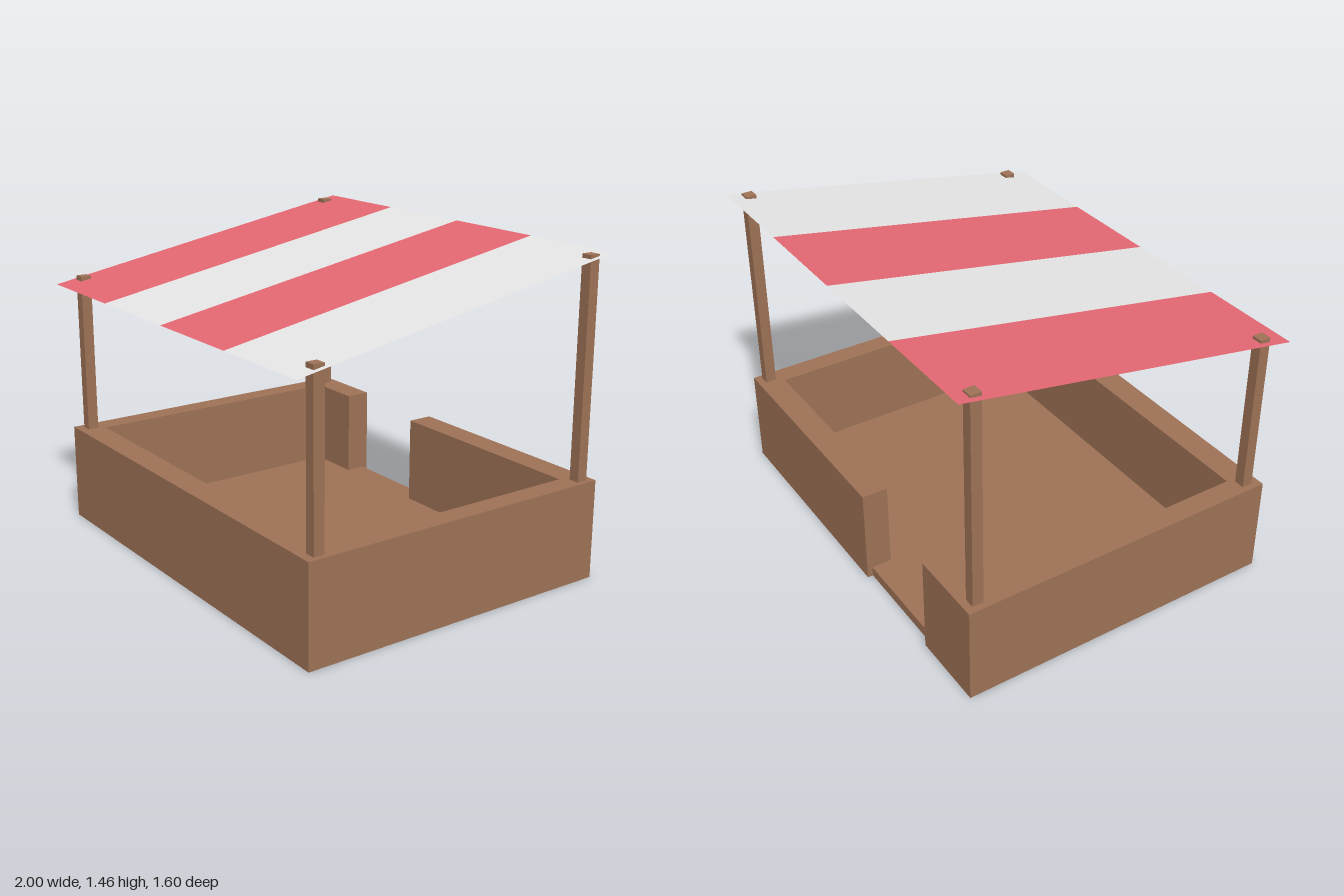
import * as THREE from 'three';

const wood = new THREE.MeshStandardMaterial({ color: 0x9f7356 });
wood.name = 'wood';
const red = new THREE.MeshStandardMaterial({ color: 0xe66873, side: THREE.DoubleSide });
red.name = 'red cloth';
const white = new THREE.MeshStandardMaterial({ color: 0xe7e7e7, side: THREE.DoubleSide });
white.name = 'white cloth';

const WALL_TOP = 0.457;

// Box given by its minimum and maximum corners
function block(name, [x0, y0, z0], [x1, y1, z1]) {
  const mesh = new THREE.Mesh(new THREE.BoxGeometry(x1 - x0, y1 - y0, z1 - z0), wood);
  mesh.position.set((x0 + x1) / 2, (y0 + y1) / 2, (z0 + z1) / 2);
  mesh.name = name;
  return mesh;
}

export function createModel() {
  const stall = new THREE.Group();
  stall.name = 'marketStall';

  // Low counter walls: one outline running round from one door jamb to the other, as [x, z]
  const outline = [
    [-0.13, -0.77], [0.995, -0.77], [0.995, 0.75], [-1, 0.75], [-1, -0.77], [-0.64, -0.77],
    [-0.64, -0.65], [-0.9, -0.65], [-0.9, 0.63], [0.895, 0.63], [0.895, -0.65], [-0.13, -0.65],
  ].map(([x, z]) => new THREE.Vector2(x, -z));
  const wallGeo = new THREE.ExtrudeGeometry(new THREE.Shape(outline), { depth: WALL_TOP, bevelEnabled: false });
  wallGeo.rotateX(-Math.PI / 2);
  const walls = new THREE.Mesh(wallGeo, wood);
  walls.name = 'counterWalls';
  stall.add(walls);

  // Floor slab, showing as a sill in the doorway
  stall.add(block('floor', [-0.95, 0, -0.745], [0.95, 0.047, 0.7]));

  // Four posts, the back pair taller
  const w = 0.025;
  for (const x of [-0.945, 0.948]) {
    for (const [name, z, top] of [['frontPost', 0.685, 1.208], ['backPost', -0.71, 1.452]]) {
      stall.add(block(name, [x - w, WALL_TOP, z - w], [x + w, top, z + w]));
    }
  }

  // Sloping striped canopy, a single sheet of cloth
  const canopy = new THREE.Group();
  canopy.name = 'canopy';
  const rise = 0.284, run = 1.6;
  const edges = [-0.997, -0.5, 0, 0.5, 0.997];
  for (let i = 0; i < 4; i++) {
    const geo = new THREE.PlaneGeometry(edges[i + 1] - edges[i], Math.hypot(rise, run));
    geo.rotateX(-Math.PI / 2 + Math.atan2(rise, run));
    const stripe = new THREE.Mesh(geo, i % 2 ? white : red);
    stripe.position.x = (edges[i] + edges[i + 1]) / 2;
    stripe.name = i % 2 ? 'whiteStripe' : 'redStripe';
    canopy.add(stripe);
  }
  canopy.position.y = 1.313;
  stall.add(canopy);

  return stall;
}
